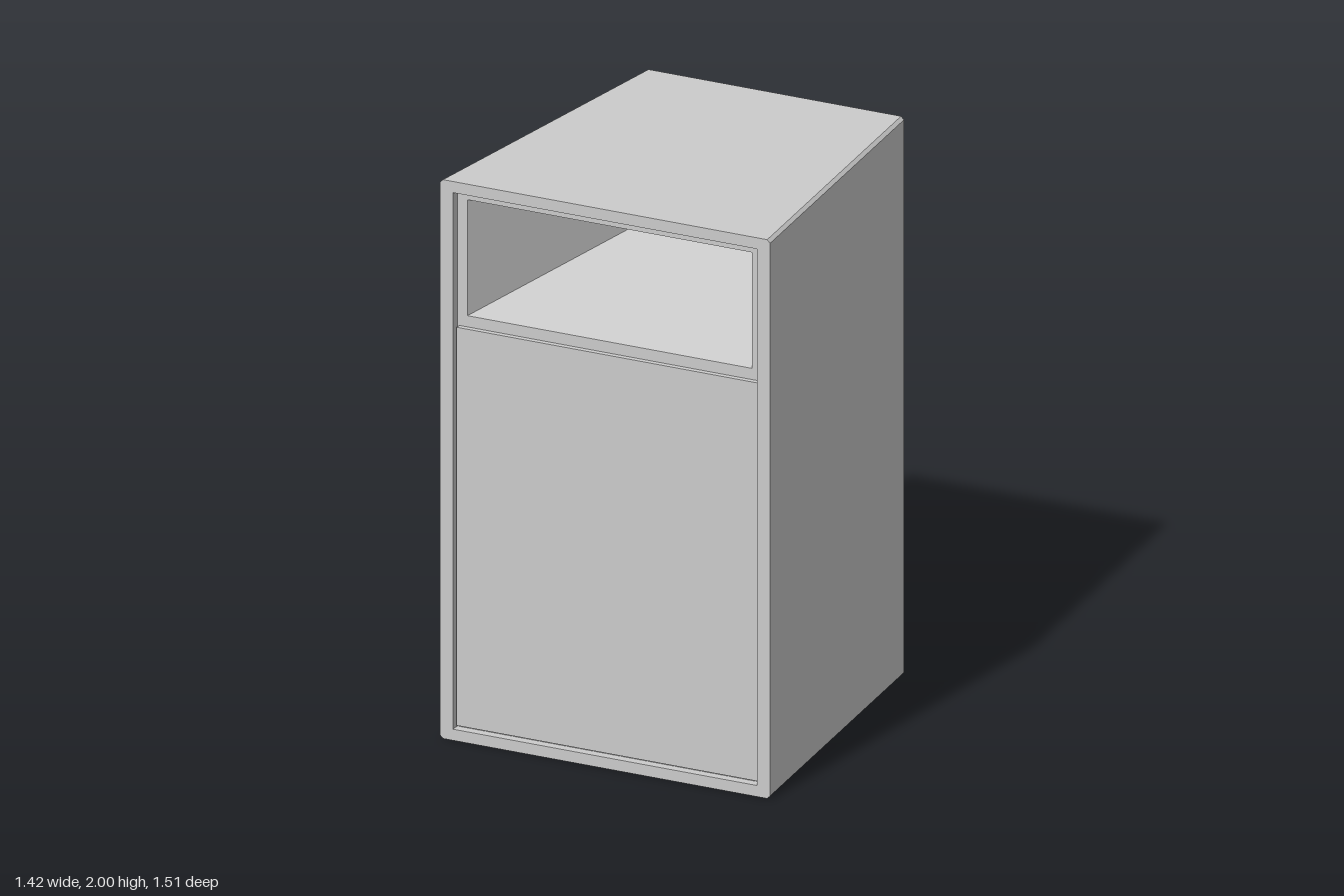
import * as THREE from 'three';

const FRONT = 0.5835, BACK = -0.66, BAFFLE = 0.55;
const BEVEL = 0.011;
const grey = () => new THREE.MeshStandardMaterial({ color: 0xcccccc, flatShading: true });

// Rectangle section with chamfered corners, counterclockwise from the front
function ring(hw, y0, y1, c, z) {
  return [
    [hw, y0 + c, z], [hw, y1 - c, z], [hw - c, y1, z], [c - hw, y1, z],
    [-hw, y1 - c, z], [-hw, y0 + c, z], [c - hw, y0, z], [hw - c, y0, z],
  ];
}

// Skin through successive sections, optionally closing the first or last one
function loft(rings, capFirst, capLast) {
  const pos = [];
  const tri = (...pts) => pts.forEach((p) => pos.push(...p));
  for (let r = 0; r < rings.length - 1; r++) {
    const a = rings[r], b = rings[r + 1];
    for (let i = 0; i < 8; i++) {
      const j = (i + 1) % 8;
      tri(a[i], b[i], b[j]);
      tri(a[i], b[j], a[j]);
    }
  }
  const last = rings[rings.length - 1];
  for (let i = 1; i < 7; i++) {
    if (capFirst) tri(rings[0][0], rings[0][i], rings[0][i + 1]);
    if (capLast) tri(last[0], last[i + 1], last[i]);
  }
  const g = new THREE.BufferGeometry();
  g.setAttribute('position', new THREE.Float32BufferAttribute(pos, 3));
  g.computeVertexNormals();
  return g;
}

function rectangle(path, hw, y0, y1) {
  path.moveTo(-hw, y0);
  path.lineTo(hw, y0);
  path.lineTo(hw, y1);
  path.lineTo(-hw, y1);
  path.closePath();
  return path;
}

export function createModel() {
  const model = new THREE.Group();
  model.name = 'loudspeaker';
  const body = new THREE.Group();
  body.name = 'speakerBody';
  // The tapered cabinet stands turned about its vertical axis
  body.rotation.y = Math.atan2(0.36, 1.19);
  const shift = -0.0565;
  body.position.set(shift * Math.cos(body.rotation.y), 0, -shift * Math.sin(body.rotation.y));
  model.add(body);

  const add = (name, geometry) => {
    const mesh = new THREE.Mesh(geometry, grey());
    mesh.name = name;
    body.add(mesh);
    return mesh;
  };

  // Tapered cabinet: recess wall, front rim, sides, bevelled back
  const rimHalf = 0.573, rimLow = 0.04, rimHigh = 1.96;
  add('cabinet', loft([
    ring(rimHalf, rimLow, rimHigh, 0, BAFFLE),
    ring(rimHalf, rimLow, rimHigh, 0, FRONT),
    ring(0.6215, 0, 2, BEVEL, FRONT),
    ring(0.4865, 0, 2, BEVEL, BACK + BEVEL),
    ring(0.4865 - BEVEL, BEVEL, 2 - BEVEL, 0, BACK),
  ], false, true));

  // Recessed baffle with the horn mouth cut out
  const mouthHalf = 0.5355, mouthLow = 1.515, mouthHigh = 1.93;
  const panel = rectangle(new THREE.Shape(), rimHalf, rimLow, rimHigh);
  panel.holes.push(rectangle(new THREE.Path(), mouthHalf, mouthLow, mouthHigh));
  add('baffle', new THREE.ShapeGeometry(panel)).position.z = BAFFLE;

  // Horn narrowing to a closed throat
  add('horn', loft([
    ring(0.227, 1.67, 1.775, 0, -0.22),
    ring(mouthHalf, mouthLow, mouthHigh, 0, BAFFLE),
  ], true, false));

  // Grille standing proud of the baffle
  const grilleLow = 0.05, grilleHigh = 1.475, grilleDepth = 0.02;
  add('grille', new THREE.BoxGeometry(1.132, grilleHigh - grilleLow, grilleDepth))
    .position.set(0, (grilleLow + grilleHigh) / 2, BAFFLE + grilleDepth / 2);

  return model;
}
